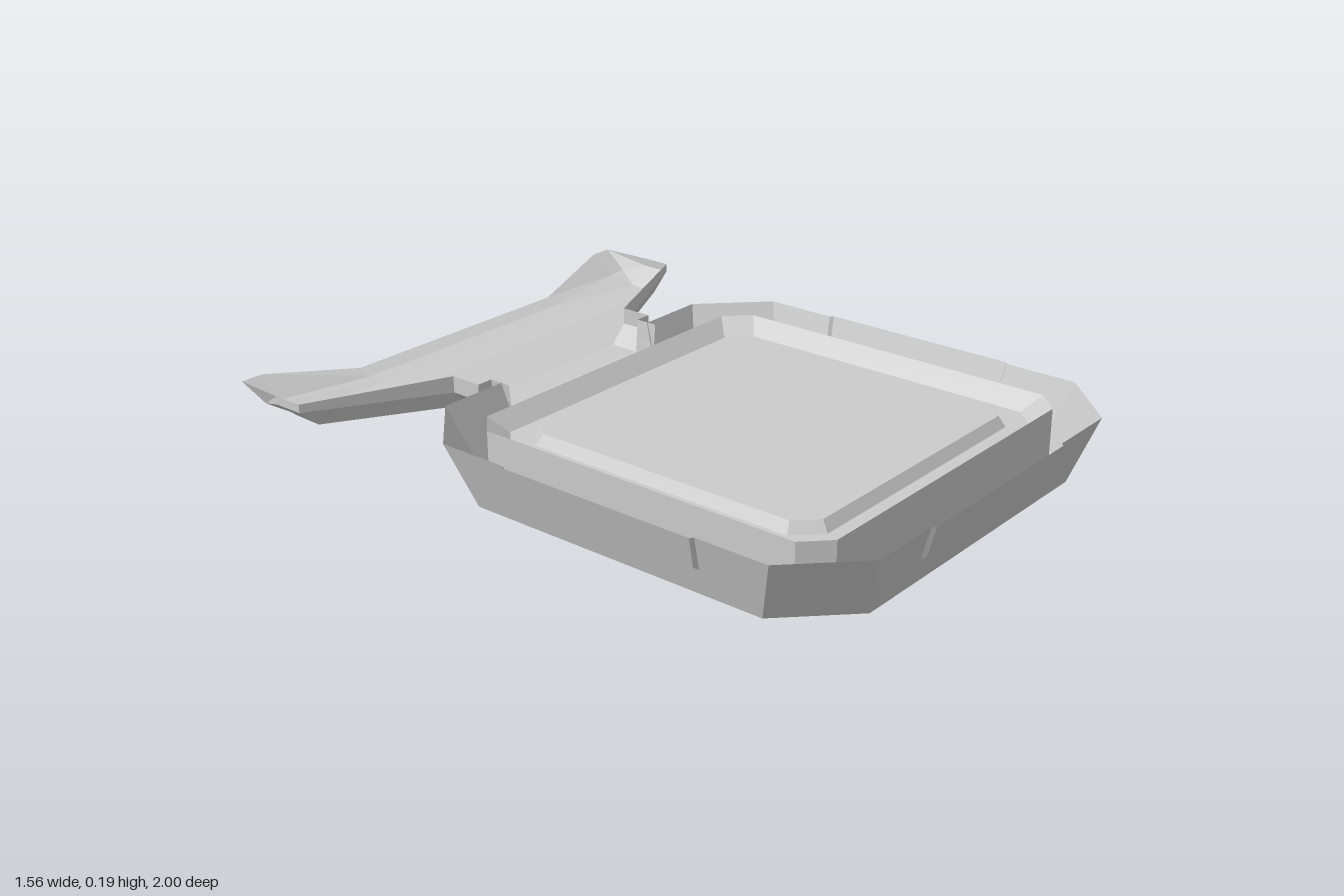
import * as THREE from 'three';

const material = new THREE.MeshStandardMaterial({ color: 0xcccccc, flatShading: true, side: THREE.DoubleSide });

// Flat-shaded mesh from a list of quads, each four [x, y, z] corners
function quadMesh(name, quads) {
  const pos = [];
  for (const [a, b, c, d] of quads) pos.push(...a, ...b, ...c, ...a, ...c, ...d);
  const geometry = new THREE.BufferGeometry();
  geometry.setAttribute('position', new THREE.Float32BufferAttribute(pos, 3));
  geometry.computeVertexNormals();
  const mesh = new THREE.Mesh(geometry, material);
  mesh.name = name;
  return mesh;
}

// Quads joining successive rings of equal length
function loft(rings, closed) {
  const quads = [];
  for (let r = 0; r + 1 < rings.length; r++) {
    const a = rings[r], b = rings[r + 1], n = a.length;
    for (let i = 0; i < (closed ? n : n - 1); i++) {
      const j = (i + 1) % n;
      quads.push([a[i], a[j], b[j], b[i]]);
    }
  }
  return quads;
}

const TOP = 0.185, CHANNEL = 0.0925;
const wallHalf = (y) => 0.65 + 0.06 * y / TOP; // the outer wall leans outward

// Chamfered square, anticlockwise from above
function octagon(h, y, chamfer) {
  const c = h - chamfer;
  return [[h, y, c], [h, y, -c], [c, y, -h], [-c, y, -h], [-h, y, -c], [-h, y, c], [-c, y, h], [c, y, h]];
}

// Thin-walled tray; every side of the wall has an opening for a panel or the channel
function makeTray() {
  const low = octagon(0.65, 0, 0.18);
  const high = octagon(0.71, TOP, 0.18);
  const quads = loft([octagon(0, 0, 0), low], true);
  for (let i = 0; i < 4; i++) {
    const angle = i * Math.PI / 2;
    const place = (x, y) => new THREE.Vector3(x, y, wallHalf(y))
      .applyAxisAngle(new THREE.Vector3(0, 1, 0), angle).toArray();
    const sill = i === 2 ? CHANNEL : 0.082;
    const bottom = [-0.47, -0.3, 0.3, 0.47].map((x) => place(x, 0));
    const edge = [place(-0.53, TOP), place(-0.3, sill), place(0.3, sill), place(0.53, TOP)];
    quads.push(...loft([bottom, edge], false));
    // Wall slivers beside the opening
    for (const s of [-1, 1]) {
      const sliver = [place(s * 0.53, TOP), place(s * 0.3, sill), place(s * 0.312, TOP), place(s * 0.53, TOP)];
      quads.push(s < 0 ? sliver : sliver.reverse());
    }
  }
  // Chamfered corners
  for (let i = 1; i < 8; i += 2) {
    const j = (i + 1) % 8;
    quads.push([low[i], low[j], high[j], high[i]]);
  }
  return quadMesh('tray', quads);
}

// Block standing inside the tray: dished top with a raised pad
const makePlatform = () => quadMesh('platform', loft([
  octagon(0.575, 0, 0.07),
  octagon(0.575, 0.183, 0.07),
  octagon(0.53, 0.135, 0.065),
  octagon(0.485, 0.135, 0.07),
  octagon(0.465, 0.165, 0.058),
  octagon(0, 0.165, 0),
], true));

// Trapezoid panel with bevelled edges, pushed out of the wall opening
function makePanel(name, angle) {
  const outline = (inset, lift) => [
    [-0.312 + inset, TOP], [-0.3 + inset, 0.082 + inset], [0.3 - inset, 0.082 + inset], [0.312 - inset, TOP],
  ].map(([x, y]) => [x, y, wallHalf(y) + lift]);
  const face = outline(0.008, 0.01);
  const panel = quadMesh(name, [...loft([outline(0, 0), face], false), face]);
  panel.rotation.y = angle;
  return panel;
}

// Thin-walled channel widening into a flat scoop with upswept rear tips
function makeScoop() {
  // Right half of each ring, from the channel mouth to the rear edge
  const floor = [[0.305, CHANNEL, -0.40], [0.305, 0.085, -0.47], [0.31, 0.08, -0.47], [0.31, 0.08, -0.57],
    [0.715, 0.105, -0.745], [0.715, 0.108, -0.84], [0.69, 0.108, -0.84], [0.40, 0.108, -0.84]];
  const mid = [[0.31, 0.13, -0.40], [0.31, 0.13, -0.47], [0.365, 0.135, -0.47], [0.365, 0.135, -0.57],
    [0.778, 0.16, -0.745], [0.778, 0.16, -0.84], [0.71, 0.13, -0.92], [0.40, 0.113, -0.89]];
  const rim = [[0.315, TOP, -0.40], [0.315, TOP, -0.47], [0.365, TOP, -0.47], [0.365, TOP, -0.57],
    [0.778, TOP, -0.745], [0.778, TOP, -0.84], [0.70, TOP, -1.0], [0.40, 0.13, -0.93]];
  // Outer corner of each tip
  floor.splice(6, 0, [0.71, 0.108, -0.842]);
  mid.splice(6, 0, [0.755, 0.135, -0.92]);
  rim.splice(6, 0, [0.77, TOP, -1.0]);

  const mirror = ([x, y, z]) => [-x, y, z];
  const full = (half) => [...half, ...[...half].reverse().map(mirror)];
  const quads = loft([floor, mid, rim].map(full), false);
  // Floor strips from side to side
  for (let i = 0; i + 1 < floor.length; i++) {
    quads.push([floor[i + 1], floor[i], mirror(floor[i]), mirror(floor[i + 1])]);
  }
  return quadMesh('rearScoop', quads);
}

export function createModel() {
  const model = new THREE.Group();
  model.name = 'tray with rear scoop';

  // Tray with its platform, and panels on the front and both sides
  const body = new THREE.Group();
  body.name = 'body';
  body.position.z = 0.28;
  body.add(
    makeTray(),
    makePlatform(),
    makePanel('frontPanel', 0),
    makePanel('leftPanel', Math.PI / 2),
    makePanel('rightPanel', -Math.PI / 2),
  );

  model.add(body, makeScoop());
  return model;
}
